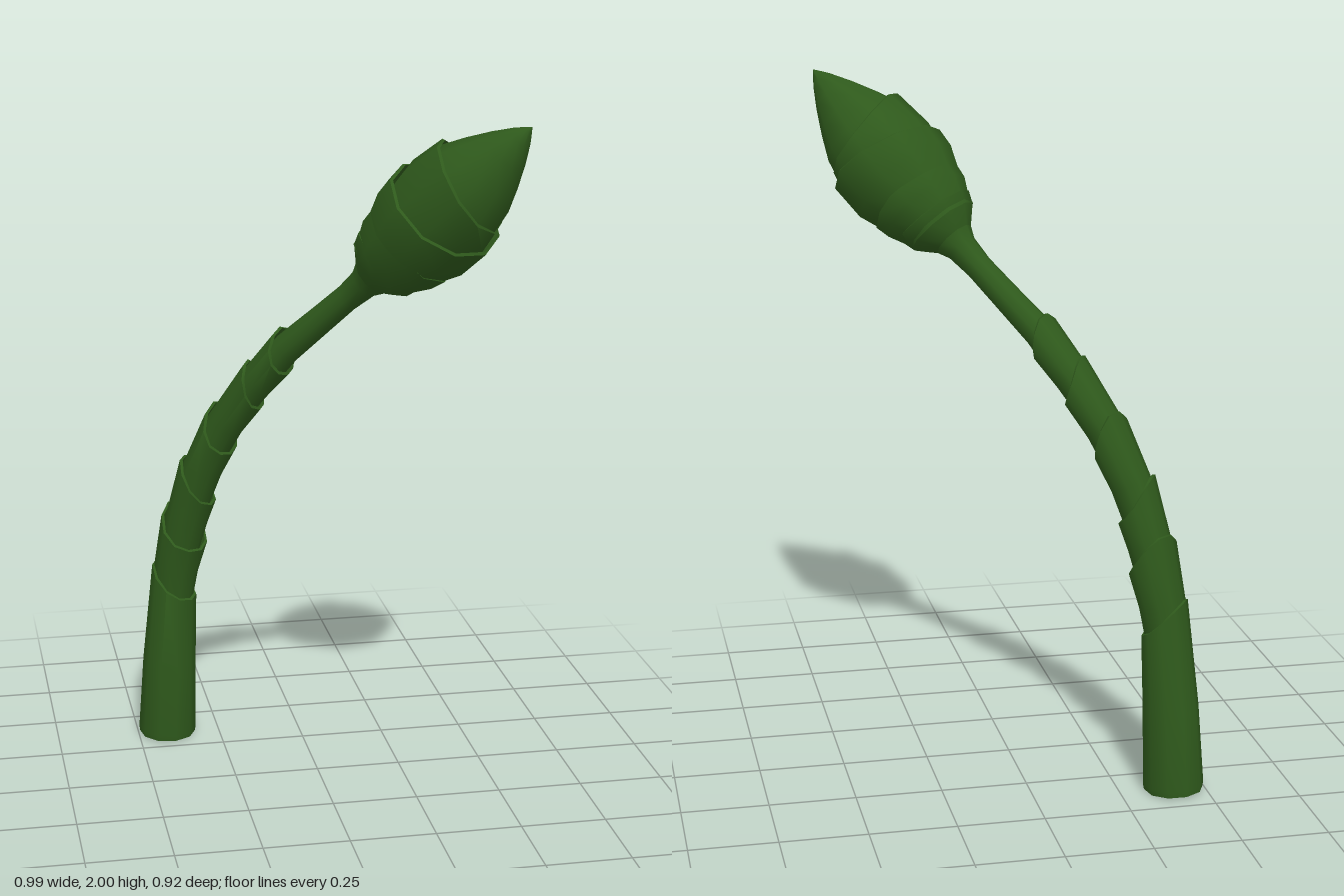
import * as THREE from 'three';
import { toCreasedNormals } from 'three/addons/utils/BufferGeometryUtils.js';

const SIDES = 10;

// Centre line from the foot of the stalk to the tip of the bud
const spine = new THREE.CatmullRomCurve3([
  [-0.41, 0, -0.37], [-0.4, 0.25, -0.36], [-0.385, 0.5, -0.34], [-0.355, 0.68, -0.31],
  [-0.315, 0.85, -0.27], [-0.25, 1.02, -0.215], [-0.16, 1.18, -0.135], [-0.085, 1.29, -0.07],
  [0.02, 1.41, 0.02], [0.14, 1.55, 0.125], [0.315, 1.775, 0.29], [0.49, 2.0, 0.455],
].map((p) => new THREE.Vector3(...p)));

const across = new THREE.Vector3(0.68, 0, -0.73).normalize(); // square to the plane of the bend

// Point and frame of the centre line at a given height
function frameAt(y) {
  let lo = 0, hi = 1;
  for (let i = 0; i < 30; i++) {
    const mid = (lo + hi) / 2;
    if (spine.getPoint(mid).y < y) lo = mid; else hi = mid;
  }
  const t = spine.getTangent(lo);
  return { p: spine.getPoint(lo), t, n: t.clone().cross(across).normalize() };
}

// Skin of rings along the centre line. Each ring is [height, radius, rim tilt];
// a tilted ring rises to a soft point at the angle `phase`.
function skin(name, rings, material, phase = 0) {
  const pos = [], index = [];
  rings.forEach(([y, r, tilt = 0], i) => {
    const { p, t, n } = frameAt(y);
    for (let j = 0; j < SIDES; j++) {
      const a = (j / SIDES) * Math.PI * 2;
      const peak = 2 * Math.pow((1 + Math.cos(a - phase)) / 2, 1.5) - 0.85;
      const v = p.clone()
        .addScaledVector(n, Math.cos(a) * r)
        .addScaledVector(across, -Math.sin(a) * r)
        .addScaledVector(t, tilt * peak);
      pos.push(v.x, Math.max(v.y, 0), v.z);
      if (i === 0) continue;
      const k = (j + 1) % SIDES, lower = (i - 1) * SIDES, upper = i * SIDES;
      index.push(lower + j, lower + k, upper + j, lower + k, upper + k, upper + j);
    }
  });
  const geo = new THREE.BufferGeometry();
  geo.setAttribute('position', new THREE.Float32BufferAttribute(pos, 3));
  geo.setIndex(index);
  const mesh = new THREE.Mesh(toCreasedNormals(geo, 0.8), material);
  mesh.name = name;
  return mesh;
}

// Rim that turns over and drops back inside the sheath
const rim = (y, r, tilt, depth = 0.05) => [
  [y, r, tilt], [y + 0.003, r - 0.008, tilt], [y - depth, r - 0.014, tilt * 0.5],
];

export function createModel() {
  const group = new THREE.Group();
  const green = new THREE.MeshStandardMaterial({ color: 0x2f5a1c, side: THREE.DoubleSide });

  // Foot of the stalk, closed underneath
  group.add(skin('stalkBase', [
    [0, 0.002], [0.002, 0.086], [0.02, 0.088], [0.25, 0.081], ...rim(0.51, 0.073, 0.045),
  ], green, 0.2));

  // Overlapping sheaths: [bottom, rim height, bottom radius, rim radius, tilt, phase]
  [
    [0.42, 0.69, 0.058, 0.077, 0.05, -0.35],
    [0.6, 0.845, 0.056, 0.072, 0.05, 0.35],
    [0.76, 1.02, 0.053, 0.067, 0.05, -0.3],
    [0.92, 1.17, 0.05, 0.063, 0.045, 0.3],
    [1.08, 1.285, 0.047, 0.06, 0.04, -0.2],
  ].forEach(([y0, y1, r0, r1, tilt, phase], i) => {
    const mid = (y0 + y1) / 2;
    group.add(skin(`sheath${i + 1}`, [
      [y0, r0], [mid, (r0 + r1) / 2], ...rim(y1, r1, tilt),
    ], green, phase));
  });

  // Bare neck flaring into the bud
  group.add(skin('neck', [
    [1.18, 0.048], [1.3, 0.045], [1.4, 0.041], [1.47, 0.039], [1.52, 0.046], [1.555, 0.07], [1.59, 0.1],
  ], green));

  // Cupped bracts: [bottom, rim height, bottom radius, belly radius, rim radius, tilt, phase]
  [
    [1.535, 1.61, 0.05, 0.108, 0.124, 0.022, 2.6],
    [1.575, 1.675, 0.1, 0.14, 0.151, 0.025, 0.4],
    [1.63, 1.755, 0.13, 0.168, 0.172, 0.03, -2.2],
    [1.69, 1.825, 0.145, 0.16, 0.146, 0.035, 0.9],
  ].forEach(([y0, y1, r0, rb, r1, tilt, phase], i) => {
    group.add(skin(`bract${i + 1}`, [
      [y0, r0], [y0 + (y1 - y0) * 0.55, rb], ...rim(y1, r1, tilt, 0.03),
    ], green, phase));
  });

  // Pointed heart of the bud
  group.add(skin('budTip', [
    [1.6, 0.09], [1.7, 0.135], [1.78, 0.15], [1.83, 0.136], [1.88, 0.104],
    [1.93, 0.067], [1.97, 0.033], [1.992, 0.01], [2.0, 0.001],
  ], green));

  return group;
}
